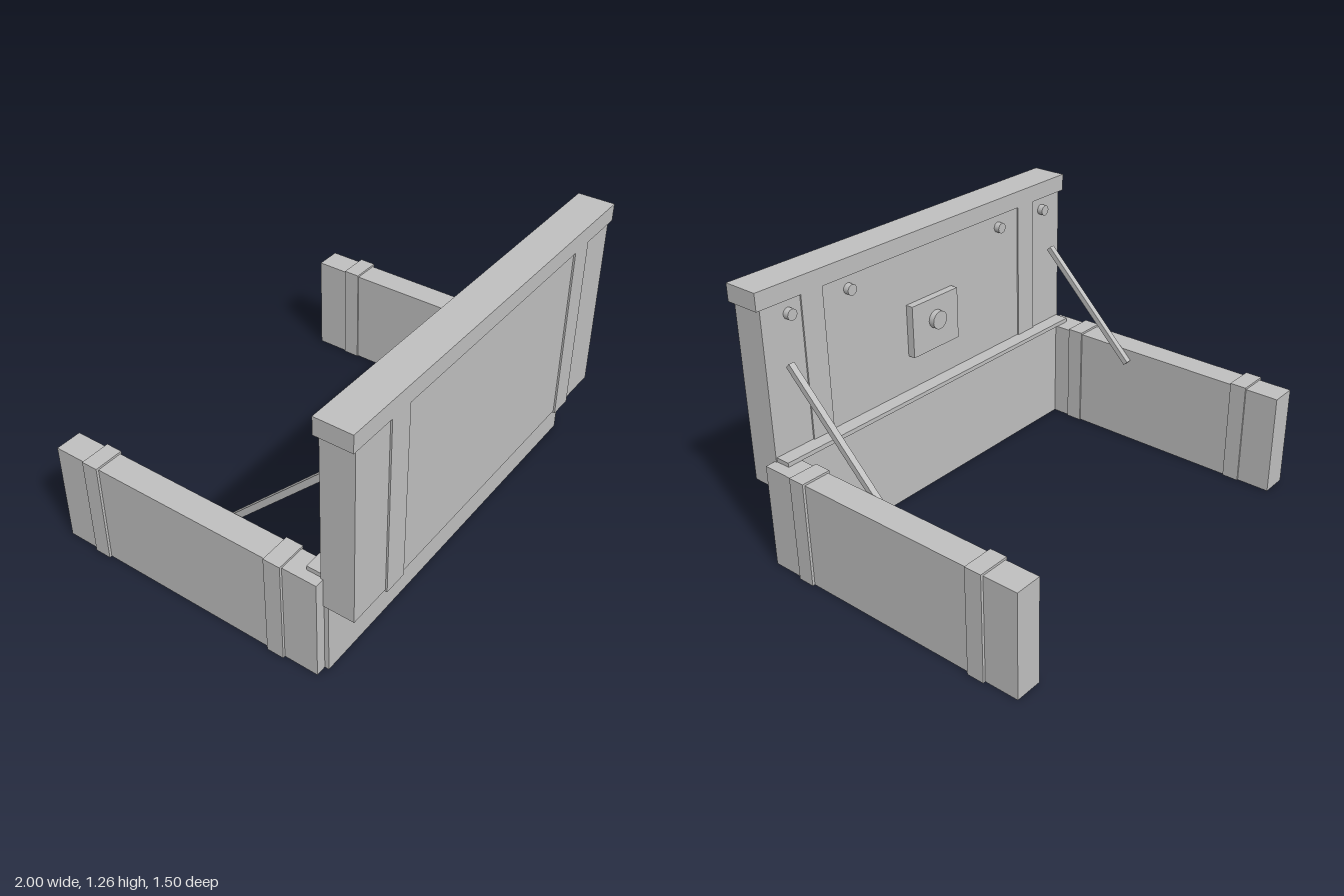
import * as THREE from 'three';

export function createModel() {
  const model = new THREE.Group();
  model.name = 'foldingBarricade';
  const grey = new THREE.MeshStandardMaterial({ color: 0xbfbfbf });
  grey.name = 'plain grey';

  const add = (parent, name, geometry) => {
    const mesh = new THREE.Mesh(geometry, grey);
    mesh.name = name;
    parent.add(mesh);
    return mesh;
  };
  // box from its lower and upper limits on each axis
  const box = (parent, name, [x0, x1], [y0, y1], [z0, z1]) => {
    const mesh = add(parent, name, new THREE.BoxGeometry(x1 - x0, y1 - y0, z1 - z0));
    mesh.position.set((x0 + x1) / 2, (y0 + y1) / 2, (z0 + z1) / 2);
    return mesh;
  };
  // short round peg whose axis runs along z
  const peg = (parent, name, x, y, radius, z0, z1) => {
    const mesh = add(parent, name, new THREE.CylinderGeometry(radius, radius, z1 - z0, 16));
    mesh.rotation.x = Math.PI / 2;
    mesh.position.set(x, y, (z0 + z1) / 2);
  };

  // lower front wall with its ledge
  box(model, 'frontWall', [-0.94, 0.94], [0, 0.49], [0.53, 0.62]);
  box(model, 'frontLedge', [-0.94, 0.935], [0.49, 0.51], [0.52, 0.6]);

  // raised panel with cap, lock plate and knob
  const panel = new THREE.Group();
  panel.name = 'raisedPanel';
  panel.position.x = -0.003;
  model.add(panel);
  box(panel, 'panelBoard', [-0.943, 0.943], [0.35, 1.18], [0.59, 0.742]);
  box(panel, 'panelCap', [-0.966, 0.966], [1.18, 1.26], [0.58, 0.75]);
  box(panel, 'lockPlate', [-0.147, 0.147], [0.68, 0.93], [0.553, 0.592]);
  peg(panel, 'lockKnob', 0, 0.825, 0.044, 0.525, 0.555);

  for (const s of [-1, 1]) {
    const span = (a, b) => (s > 0 ? [a, b] : [-b, -a]);

    // side wall with two wrapped bands
    box(model, 'sideWall', span(0.862, 0.988), [0, 0.49], [-0.75, 0.6]);
    for (const z of [-0.55, 0.4]) {
      box(model, 'sideBand', span(0.855, 1), [0, 0.5], [z - 0.04, z + 0.04]);
    }

    // panel batten and rivets
    box(panel, 'panelBatten', span(0.622, 0.737), [0.34, 1.18], [0.583, 0.75]);
    for (const x of [0.48, 0.805]) peg(panel, 'rivet', s * x, 1.12, 0.025, 0.562, 0.592);

    // diagonal strut propping the panel against the side wall
    const from = new THREE.Vector3(s * 0.844, 0.43, 0.068);
    const to = new THREE.Vector3(s * 0.844, 0.917, 0.557);
    const strut = add(model, 'strut', new THREE.BoxGeometry(0.028, 0.028, from.distanceTo(to)));
    strut.position.copy(from).lerp(to, 0.5);
    strut.lookAt(to);
  }
  return model;
}
